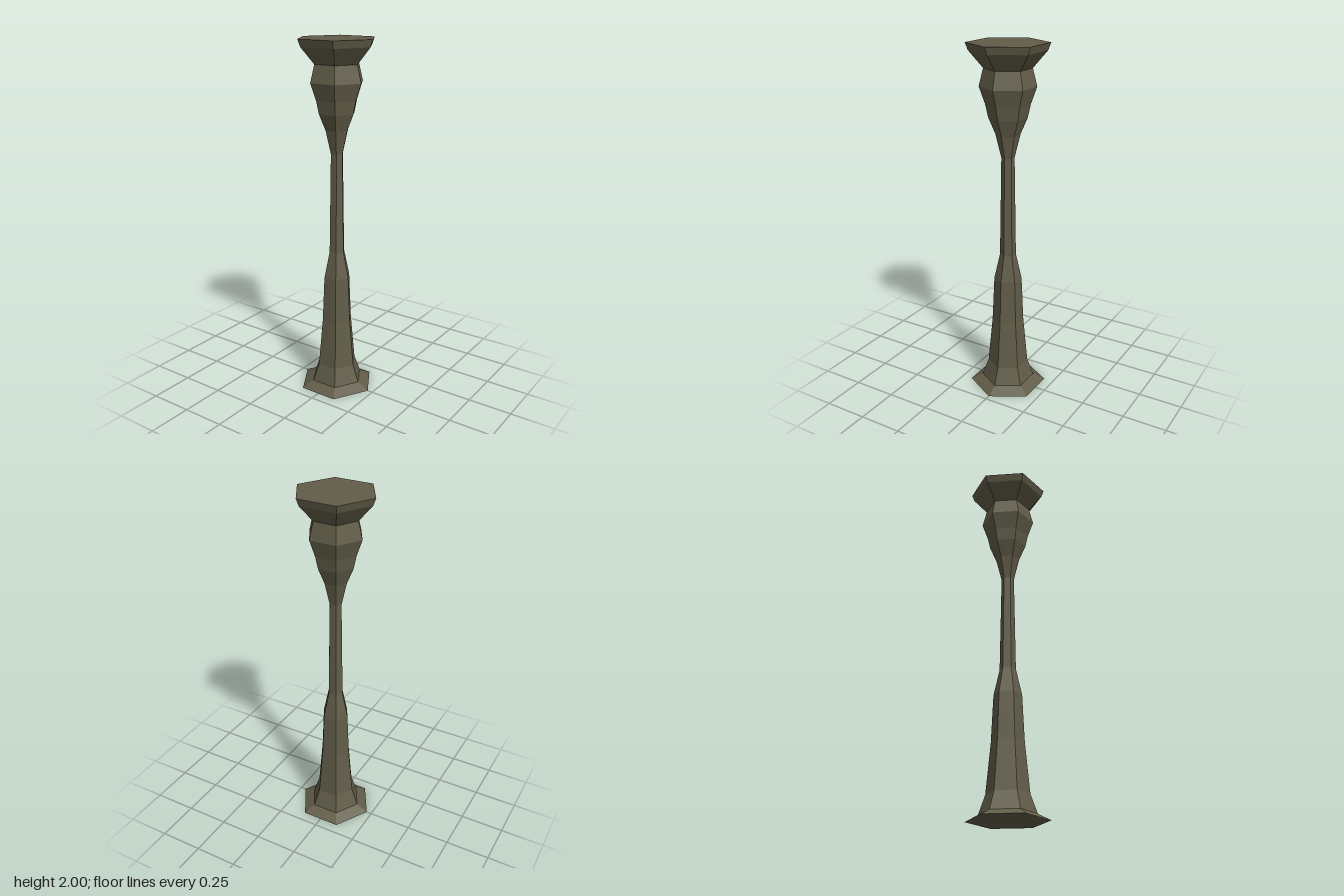
import * as THREE from 'three';

// Hexagonal turned section with flat faces; profile is [radius, height] from bottom to top
function hexSection(name, profile, material) {
  const points = profile.map(([r, y]) => new THREE.Vector2(r, y));
  const geometry = new THREE.LatheGeometry(points, 6).toNonIndexed();
  geometry.computeVertexNormals();
  const mesh = new THREE.Mesh(geometry, material);
  mesh.name = name;
  return mesh;
}

export function createModel() {
  const group = new THREE.Group();
  group.name = 'pillar';
  const stone = new THREE.MeshStandardMaterial({ color: 0x625d49 });
  stone.name = 'olive stone';

  // Flared foot, closed underneath
  group.add(hexSection('foot', [[0, 0], [0.22, 0], [0.152, 0.035], [0.116, 0.135]], stone));

  // Tapering lower column
  group.add(hexSection('lowerColumn', [[0.116, 0.135], [0.09, 0.41], [0.078, 0.675], [0.045, 0.825]], stone));

  // Slender neck
  group.add(hexSection('neck', [[0.045, 0.825], [0.036, 1.39]], stone));

  // Swelling bulb
  group.add(hexSection('bulb',
    [[0.036, 1.39], [0.067, 1.52], [0.105, 1.61], [0.12, 1.68], [0.153, 1.775], [0.129, 1.87]], stone));

  // Wide capital, closed on top
  group.add(hexSection('capital', [[0.129, 1.87], [0.206, 1.96], [0.221, 2], [0, 2]], stone));

  return group;
}
